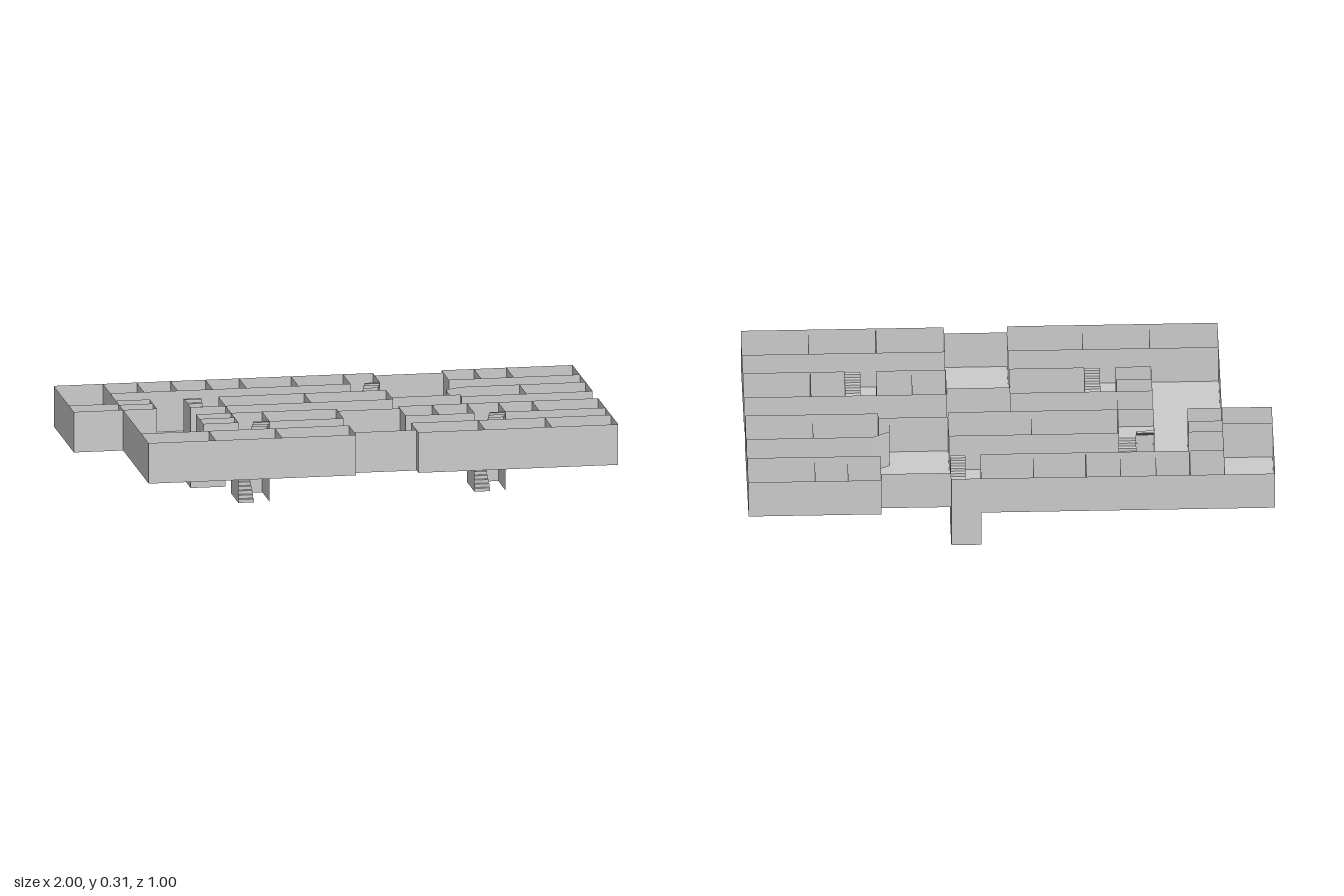
import * as THREE from 'three';

const FLOOR = 0.157, TOP = 0.315;
const material = new THREE.MeshStandardMaterial({ color: 0xcccccc, side: THREE.DoubleSide, flatShading: true });

function addMesh(parent, geometry, name) {
  const mesh = new THREE.Mesh(geometry, material);
  mesh.name = name;
  parent.add(mesh);
  return mesh;
}

// Thin upright sheets following a path of [x, z] points
function addWall(parent, name, path, y0 = FLOOR, y1 = TOP) {
  const pos = [];
  for (let i = 0; i < path.length - 1; i++) {
    const [ax, az] = path[i], [bx, bz] = path[i + 1];
    pos.push(ax, y0, az, bx, y0, bz, bx, y1, bz, ax, y0, az, bx, y1, bz, ax, y1, az);
  }
  const g = new THREE.BufferGeometry();
  g.setAttribute('position', new THREE.Float32BufferAttribute(pos, 3));
  g.computeVertexNormals();
  return addMesh(parent, g, name);
}

// Flight of folded treads and risers, between two x positions
function addFlight(parent, x0, x1, z0, z1, y0, y1, steps = 6) {
  const pos = [];
  const strip = (ya, za, yb, zb) => pos.push(
    x0, ya, za, x1, ya, za, x1, yb, zb, x0, ya, za, x1, yb, zb, x0, yb, zb);
  const dy = (y1 - y0) / steps, dz = (z1 - z0) / steps;
  for (let i = 0; i < steps; i++) {
    const y = y0 + i * dy, z = z0 + i * dz;
    strip(y, z, y + dy, z);
    strip(y + dy, z, y + dy, z + dz);
  }
  const g = new THREE.BufferGeometry();
  g.setAttribute('position', new THREE.Float32BufferAttribute(pos, 3));
  g.computeVertexNormals();
  addMesh(parent, g, 'stairFlight');
}

// Stairwell: shaft below the floor, open to the corridor, with two storeys of U-shaped stairs
function addStairwell(parent, { x0, x1, zOpen, zBack, base }) {
  const well = new THREE.Group();
  well.name = 'stairwell';
  parent.add(well);
  addWall(well, 'stairShaft', [[x0, zOpen], [x0, zBack], [x1, zBack], [x1, zOpen]], base, FLOOR);
  const mid = (x0 + x1) / 2;
  const zLand = zOpen + (zBack - zOpen) * 0.62;
  // the lower flight is on the left when entering
  const [la, lb, ua, ub] = zOpen > zBack ? [x0, mid, mid, x1] : [mid, x1, x0, mid];
  for (const [y0, y1] of [[base, FLOOR], [FLOOR, TOP - 0.003]]) {
    const yLand = (y0 + y1) / 2;
    addFlight(well, la, lb, zOpen, zLand, y0, yLand);
    addFlight(well, ua, ub, zLand, zOpen, yLand, y1);
    const landing = new THREE.PlaneGeometry(x1 - x0, Math.abs(zBack - zLand)).rotateX(-Math.PI / 2);
    landing.translate(mid, yLand, (zLand + zBack) / 2);
    addMesh(well, landing, 'stairLanding');
  }
}

export function createModel() {
  const model = new THREE.Group();
  model.name = 'floorPlan';

  const wells = [
    { x0: -0.55, x1: -0.415, zOpen: -0.215, zBack: -0.06, base: 0 },
    { x0: -0.415, x1: -0.295, zOpen: 0.22, zBack: 0.06, base: 0.001 },
    { x0: 0.115, x1: 0.23, zOpen: -0.34, zBack: -0.5, base: 0.008 },
    { x0: 0.495, x1: 0.615, zOpen: 0.22, zBack: 0.06, base: 0.008 },
  ];

  // Outline of the two wings joined at the west end
  const outline = [
    [-1, -0.5], [0.23, -0.5], [0.23, -0.46], [0.495, -0.46], [0.495, -0.5], [1, -0.5],
    [1, -0.06], [0.495, -0.06], [0.495, -0.09], [0.23, -0.09], [0.23, -0.06], [-0.415, -0.06],
    [-0.415, 0.06], [-0.01, 0.06], [-0.01, 0.097], [0.23, 0.097], [0.23, 0.06], [1, 0.06],
    [1, 0.5], [0.23, 0.5], [0.23, 0.46], [-0.01, 0.46], [-0.01, 0.5], [-0.81, 0.5],
    [-0.81, -0.06], [-1, -0.06], [-1, -0.5],
  ];
  addWall(model, 'outerWalls', outline);

  // Floor with openings for the stairs
  const e = 0.0005;
  const shape = new THREE.Shape(outline.slice(0, -1).map(([x, z]) => new THREE.Vector2(x, -z)));
  for (const w of wells) {
    const za = Math.min(w.zOpen, w.zBack) + e, zb = Math.max(w.zOpen, w.zBack) - e;
    shape.holes.push(new THREE.Path([[w.x0 + e, -za], [w.x1 - e, -za], [w.x1 - e, -zb], [w.x0 + e, -zb]]
      .map(([x, y]) => new THREE.Vector2(x, y))));
  }
  const floor = addMesh(model, new THREE.ShapeGeometry(shape).rotateX(-Math.PI / 2), 'floor');
  floor.position.y = FLOOR;

  // Corridor walls, interrupted at stairs and at the recessed bays
  const corridors = [
    [-0.34, [[-0.81, 0.115], [0.495, 1]]],
    [-0.215, [[-0.415, 0.23], [0.52, 1]]],
    [0.22, [[-0.55, -0.415], [-0.295, -0.01], [0.23, 0.495], [0.615, 1]]],
    [0.34, [[-0.81, -0.01], [0.23, 1]]],
  ];
  for (const [z, runs] of corridors)
    for (const [a, b] of runs) addWall(model, 'corridorWall', [[a, z], [b, z]]);

  // Cross walls between rooms, one row per side of each corridor
  const rows = [
    [-0.5, -0.34, [-0.68, -0.55, -0.415, -0.285, -0.085, 0.115, 0.23, 0.495, 0.62, 0.745]],
    [-0.215, -0.06, [-0.55, -0.415, -0.085, 0.23, 0.745]],
    [0.06, 0.22, [-0.55, -0.415, -0.295, -0.01, 0.23, 0.36, 0.495, 0.615, 0.745]],
    [0.34, 0.5, [-0.55, -0.295, -0.01, 0.23, 0.488, 0.745]],
  ];
  for (const [z0, z1, xs] of rows)
    for (const x of xs) addWall(model, 'roomWall', [[x, z0], [x, z1]]);

  // West end rooms and small partitions
  addWall(model, 'westWall', [[-0.81, -0.5], [-0.81, -0.06]]);
  addWall(model, 'westRoom', [[-0.81, -0.215], [-0.68, -0.215], [-0.68, -0.06], [-0.81, -0.06]]);
  addWall(model, 'westPartition', [[-0.81, -0.145], [-0.68, -0.145]]);
  addWall(model, 'westPartition', [[-1, -0.165], [-0.81, -0.165]]);
  addWall(model, 'closetPartition', [[-0.55, 0.137], [-0.415, 0.137]]);
  addWall(model, 'closetBackWall', [[-0.55, 0.06], [-0.415, 0.06]]);
  addWall(model, 'stairBackWall', [[-0.55, -0.06], [-0.415, -0.06]]);
  addWall(model, 'angledWall', [[0.455, -0.09], [0.455, -0.18], [0.52, -0.215]]);

  for (const w of wells) addStairwell(model, w);
  return model;
}
